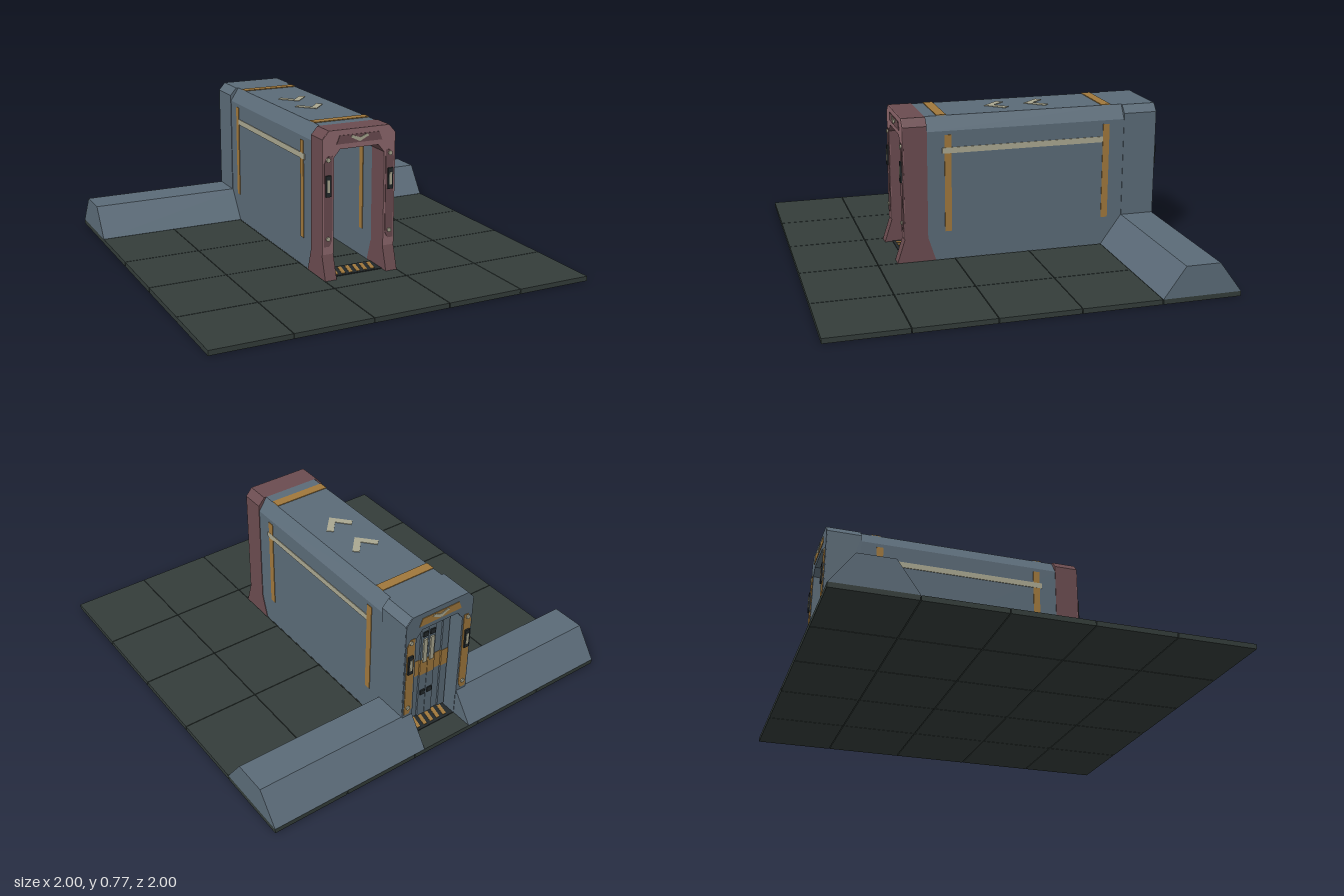
import * as THREE from 'three';

const mat = (name, color) => Object.assign(new THREE.MeshStandardMaterial({ color }), { name });

export function createModel() {
  const M = {
    slate: mat('slate', 0x5b6b78),
    floor: mat('floor', 0x343d3a),
    red: mat('dark red', 0x6b4c50),
    rose: mat('light red', 0x8f686d),
    amber: mat('amber', 0xa0783c),
    pale: mat('pale', 0xaaa891),
    dark: mat('dark', 0x22282a),
  };
  const model = new THREE.Group();
  model.name = 'gateCorridor';

  const add = (name, geometry, material, parent = model) => {
    const mesh = new THREE.Mesh(geometry, material);
    mesh.name = name;
    parent.add(mesh);
    return mesh;
  };
  // Box given by its extents
  const box = (name, material, x0, x1, y0, y1, z0, z1, parent) =>
    add(name, new THREE.BoxGeometry(x1 - x0, y1 - y0, z1 - z0)
      .translate((x0 + x1) / 2, (y0 + y1) / 2, (z0 + z1) / 2), material, parent);
  const poly = (pts) => new THREE.Shape(pts.map(([x, y]) => new THREE.Vector2(x, y)));
  // Outline in x, y pushed along z
  const alongZ = (pts, z0, z1) =>
    new THREE.ExtrudeGeometry(poly(pts), { depth: z1 - z0, bevelEnabled: false }).translate(0, 0, z0);
  // Outline in z, y pushed along x
  const alongX = (pts, x0, x1) =>
    new THREE.ExtrudeGeometry(poly(pts.map(([z, y]) => [-z, y])), { depth: x1 - x0, bevelEnabled: false })
      .rotateY(Math.PI / 2).translate(x0, 0, 0);
  // Chamfered arch open at the bottom
  const arch = (w, topW, shoulder, y0) => [
    [w, y0], [w, shoulder], [topW, 0.77], [-topW, 0.77], [-w, shoulder], [-w, y0],
    [-0.138, y0], [-0.138, 0.635], [-0.105, 0.675], [0.105, 0.675], [0.138, 0.635], [0.138, y0],
  ];
  // V mark, tip pointing down in its own plane
  const chevron = (w, h, t) => [
    [0, -h / 2], [w, h / 2 - t * 0.7], [w - t * 0.7, h / 2], [0, -h / 2 + t * 1.4],
    [-w + t * 0.7, h / 2], [-w, h / 2 - t * 0.7],
  ];

  // Floor of five by five tiles
  const tiles = new THREE.Group();
  tiles.name = 'floorTiles';
  model.add(tiles);
  for (let i = 0; i < 5; i++) {
    for (let j = 0; j < 5; j++) {
      const x = -1 + i * 0.4, z = -1 + j * 0.4;
      box('floorTile', M.floor, x + (i ? 0.002 : 0), x + (i < 4 ? 0.398 : 0.4), 0, 0.025,
        z + (j ? 0.002 : 0), z + (j < 4 ? 0.398 : 0.4), tiles);
    }
  }

  // Corridor shell and its two end frames
  add('corridorShell', alongZ(arch(0.197, 0.152, 0.7, 0.025), -0.71, 0.34), M.slate);
  add('backFrame', alongZ(arch(0.2, 0.165, 0.73, 0.025), -0.885, -0.71), M.slate);
  add('frontFrame', alongZ(arch(0.2, 0.165, 0.73, 0.14), 0.34, 0.46), M.red);

  // Low barrier walls and flared front feet
  const barrier = [[-0.6, 0.025], [-1, 0.025], [-0.885, 0.18], [-0.71, 0.18]];
  const foot = [[0.5, 0.025], [0.3, 0.025], [0.34, 0.15], [0.46, 0.15]];
  for (const s of [-1, 1]) {
    const side = s > 0 ? 'left' : 'right';
    add(side + 'Barrier', alongX(barrier, s > 0 ? 0.14 : -1, s > 0 ? 1 : -0.14), M.slate);
    add(side + 'FrontFoot', alongX(foot, s > 0 ? 0.138 : -0.2, s > 0 ? 0.2 : -0.138), M.red);

    // Stripes on the outer and inner faces of each side wall
    const plate = (name, material, x, y0, y1, z0, z1) =>
      box(name, material, s * x - 0.002, s * x + 0.002, y0, y1, z0, z1);
    for (const x of [0.198, 0.137]) {
      plate('wallStripe', M.amber, x, 0.175, x > 0.15 ? 0.68 : 0.63, 0.215, 0.25);
      plate('wallStripe', M.amber, x, 0.175, x > 0.15 ? 0.68 : 0.63, -0.63, -0.595);
    }
    plate('wallLine', M.pale, 0.1985, 0.585, 0.615, -0.594, 0.262);
  }

  // Roof markings
  box('roofStripe', M.amber, -0.152, 0.152, 0.768, 0.774, 0.23, 0.28);
  box('roofStripe', M.amber, -0.152, 0.152, 0.768, 0.774, -0.65, -0.6);
  for (const z of [-0.283, -0.068]) {
    add('roofChevron', alongZ(chevron(0.08, 0.115, 0.036), 0, 0.004)
      .rotateX(-Math.PI / 2).translate(0, 0.769, z), M.pale);
  }

  // Face plates, panels, lamps and bolts of an end frame
  const portalFace = (name, face, panel, shade) => {
    const g = new THREE.Group();
    g.name = name;
    add('facePlate', alongZ(arch(0.199, 0.164, 0.73, 0.15), 0, 0.004), face, g);
    add('headerPanel', alongZ([[0.125, 0.7], [0.108, 0.742], [-0.108, 0.742], [-0.125, 0.7]], 0.003, 0.007), panel, g);
    add('headerChevron', alongZ(chevron(0.05, 0.034, 0.014), 0.006, 0.01).translate(0, 0.722, 0), M.pale, g);
    for (const s of [-1, 1]) {
      const pts = [[0.147, 0.22], [0.162, 0.19], [0.191, 0.19], [0.191, 0.61], [0.172, 0.645], [0.147, 0.645]]
        .map(([x, y]) => [s * x, y]);
      add('postPanel', alongZ(pts, 0.003, 0.007), panel, g);
      box('controlBox', shade, s * 0.171 - 0.014, s * 0.171 + 0.014, 0.445, 0.552, 0.003, 0.015, g);
      box('controlLight', M.pale, s * 0.171 - 0.007, s * 0.171 + 0.007, 0.468, 0.53, 0.013, 0.017, g);
      for (const y of [0.23, 0.628]) {
        add('bolt', new THREE.CylinderGeometry(0.011, 0.011, 0.01, 12)
          .rotateX(Math.PI / 2).translate(s * 0.17, y, 0.008), M.pale, g);
      }
    }
    // Striped threshold just inside the opening
    box('threshold', M.dark, -0.136, 0.136, 0.024, 0.029, -0.12, 0, g);
    for (let i = 0; i < 6; i++) {
      const x = -0.122 + i * 0.041;
      add('thresholdStripe', alongZ([[x, 0.015], [x + 0.02, 0.015], [x + 0.04, 0.105], [x + 0.02, 0.105]], 0, 0.003)
        .rotateX(-Math.PI / 2).translate(0, 0.028, 0), M.amber, g);
    }
    model.add(g);
    return g;
  };
  portalFace('frontPortal', M.rose, M.red, M.dark).position.z = 0.46;
  const back = portalFace('backPortal', M.slate, M.amber, M.dark);
  back.position.z = -0.885;
  back.rotation.y = Math.PI;

  // Folding door near the back, both sides alike
  const door = new THREE.Group();
  door.name = 'door';
  door.position.z = -0.8;
  model.add(door);
  const edges = [0.001, 0.046, 0.087, 0.13];
  for (const s of [-1, 1]) {
    for (let i = 0; i < 3; i++) {
      const a = s * edges[i], b = s * (edges[i + 1] - 0.002);
      const x0 = Math.min(a, b), x1 = Math.max(a, b);
      const d = 0.018 - (i % 2) * 0.007;
      box('doorLeaf', M.slate, x0, x1, 0.05, i < 2 ? 0.66 : 0.63, -d, d, door);
      box('doorBand', M.amber, x0, x1, 0.315, 0.41, -d - 0.002, d + 0.002, door);
    }
    const x = s * 0.021;
    box('doorHandle', M.pale, x - 0.011, x + 0.011, 0.395, 0.535, -0.026, 0.026, door);
    for (const y of [0.2, 0.565]) {
      box('doorLock', M.dark, x - 0.014, x + 0.014, y - 0.014, y + 0.014, -0.024, 0.024, door);
    }
  }

  return model;
}
